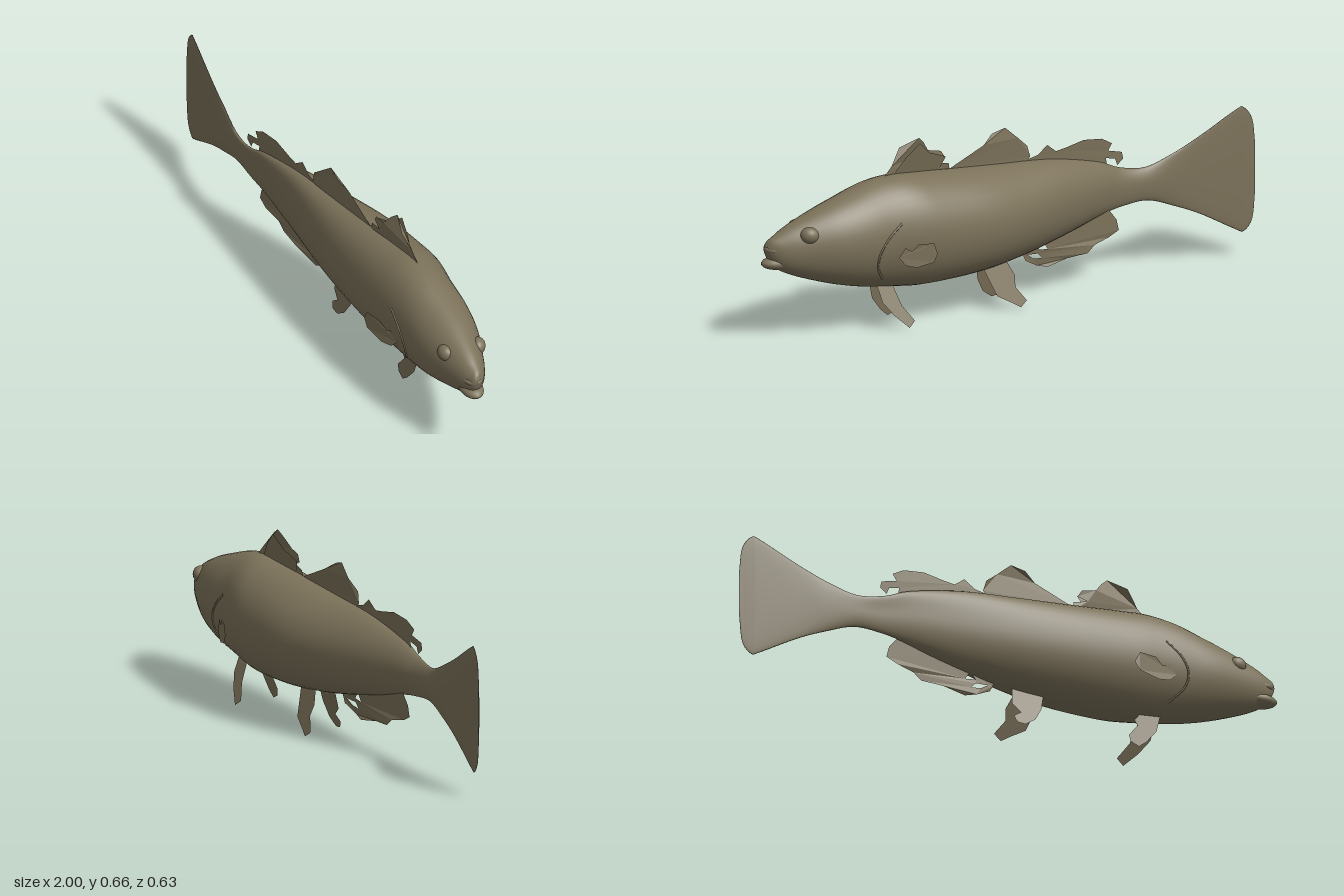
import * as THREE from 'three';

const olive = new THREE.MeshStandardMaterial({ color: 0x7c725a, side: THREE.DoubleSide });
olive.name = 'olive brown';

// Body stations: x, bottom y, top y, right flank z, left flank z
const STATIONS = [
  [-1, 0.22, 0.42, -0.317, -0.313], [-0.99, 0.13, 0.5, -0.314, -0.308],
  [-0.96, 0.09, 0.545, -0.304, -0.292], [-0.93, 0.1, 0.54, -0.292, -0.278],
  [-0.8, 0.175, 0.465, -0.24, -0.225], [-0.7, 0.22, 0.415, -0.205, -0.18],
  [-0.6, 0.255, 0.377, -0.17, -0.14], [-0.5, 0.25, 0.39, -0.142, -0.105],
  [-0.4, 0.235, 0.43, -0.138, -0.07], [-0.2, 0.19, 0.475, -0.145, 0.005],
  [0, 0.155, 0.495, -0.15, 0.085], [0.2, 0.135, 0.515, -0.14, 0.155],
  [0.4, 0.13, 0.535, -0.095, 0.215], [0.5, 0.138, 0.543, -0.06, 0.24],
  [0.6, 0.15, 0.53, -0.01, 0.265], [0.7, 0.17, 0.5, 0.03, 0.288],
  [0.8, 0.2, 0.465, 0.085, 0.3], [0.9, 0.238, 0.42, 0.165, 0.305],
  [0.95, 0.268, 0.39, 0.212, 0.302], [0.975, 0.305, 0.372, 0.245, 0.297],
  [0.985, 0.335, 0.35, 0.265, 0.288],
];
const curve = (a, b) => new THREE.CatmullRomCurve3(
  STATIONS.map(s => new THREE.Vector3(s[0], s[a], s[b])), false, 'catmullrom');
const heights = curve(1, 2), flanks = curve(3, 4);

// Point on the skin; t runs tail to snout, angle 0 is the back, 90 degrees the left flank
function skin(t, angle) {
  const h = heights.getPoint(t), w = flanks.getPoint(t);
  const c = Math.cos(angle), s = Math.sin(angle);
  const ridge = 0.03 * Math.max(0, 1 - (h.x / 0.7) ** 2) * Math.max(0, c) ** 2;
  return new THREE.Vector3(h.x, (h.y + h.z) / 2 + c * (h.z - h.y) / 2,
    (w.y + w.z) / 2 + s * (w.z - w.y) / 2 + ridge);
}

// Skin parameter t at a given x
function paramAt(x) {
  let i = 0;
  while (i < STATIONS.length - 2 && STATIONS[i + 1][0] < x) i++;
  const a = STATIONS[i][0], b = STATIONS[i + 1][0];
  return (i + (x - a) / (b - a)) / (STATIONS.length - 1);
}

function bodyGeometry() {
  const rings = 100, sides = 40, pos = [], index = [];
  for (let i = 0; i <= rings; i++)
    for (let j = 0; j < sides; j++)
      pos.push(...skin(i / rings, j / sides * Math.PI * 2).toArray());
  for (let i = 0; i < rings; i++)
    for (let j = 0; j < sides; j++) {
      const a = i * sides + j, a1 = i * sides + (j + 1) % sides;
      index.push(a, a1, a + sides, a1, a1 + sides, a + sides);
    }
  const g = new THREE.BufferGeometry();
  g.setAttribute('position', new THREE.Float32BufferAttribute(pos, 3));
  g.setIndex(index);
  g.computeVertexNormals();
  return g;
}

// Thin sheet from an x-y outline, with z given by a rule
function finGeometry(outline, zRule, holes = []) {
  const toPoints = list => list.map(p => new THREE.Vector2(...p));
  const shape = new THREE.Shape(toPoints(outline));
  holes.forEach(h => shape.holes.push(new THREE.Path(toPoints(h))));
  const g = new THREE.ShapeGeometry(shape).toNonIndexed();
  const p = g.attributes.position;
  for (let i = 0; i < p.count; i++) p.setZ(i, zRule(p.getX(i), p.getY(i)));
  g.computeVertexNormals();
  return g;
}

export function createModel() {
  const fish = new THREE.Group();
  fish.name = 'fish';
  const add = (name, geometry) => {
    const m = new THREE.Mesh(geometry, olive);
    m.name = name;
    fish.add(m);
    return m;
  };
  const ball = (name, x, y, z, rx, ry, rz, turn = 0) => {
    const m = add(name, new THREE.SphereGeometry(1, 20, 14));
    m.position.set(x, y, z);
    m.scale.set(rx, ry, rz);
    m.rotation.y = turn;
  };

  add('bodyAndTail', bodyGeometry());

  // Head details
  ball('leftEye', 0.82, 0.388, 0.277, 0.034, 0.03, 0.028, -0.2);
  ball('rightEye', 0.875, 0.388, 0.17, 0.034, 0.03, 0.028, -0.8);
  ball('lowerJaw', 0.925, 0.286, 0.262, 0.075, 0.026, 0.042, -0.4);
  ball('upperLip', 0.94, 0.337, 0.265, 0.048, 0.02, 0.04, -0.5);

  // Raised edge of each gill cover
  for (const side of [1, -1]) {
    const pts = [[0.52, 1.25], [0.575, 1.5], [0.605, 1.8], [0.6, 2.1], [0.56, 2.45]]
      .map(([x, a]) => skin(paramAt(x + (side < 0 ? 0.06 : 0)), a * side));
    add(side > 0 ? 'leftGillEdge' : 'rightGillEdge',
      new THREE.TubeGeometry(new THREE.CatmullRomCurve3(pts), 24, 0.004, 6));
  }

  // Fins along the back, gently rippled away from the root
  const backZ = (x, y) => 0.22 * x + 0.1 * Math.max(0, y - 0.5) * Math.sin(x * 45);
  add('frontDorsalFin', finGeometry([[0.54, 0.53], [0.5, 0.57], [0.45, 0.63], [0.39, 0.66],
    [0.36, 0.635], [0.33, 0.6], [0.28, 0.59], [0.265, 0.565], [0.3, 0.55], [0.25, 0.54],
    [0.24, 0.5], [0.54, 0.5]], backZ));
  add('frontDorsalFold', finGeometry([[0.5, 0.53], [0.45, 0.6], [0.4, 0.645], [0.35, 0.6],
    [0.27, 0.57], [0.3, 0.5]], (x, y) => 0.22 * x - 0.25 * (y - 0.52)));
  add('middleDorsalFin', finGeometry([[0.24, 0.52], [0.1, 0.58], [0.05, 0.61], [0, 0.625],
    [-0.05, 0.58], [-0.1, 0.54], [-0.11, 0.5], [-0.07, 0.46], [0.24, 0.49]], backZ));
  add('rearDorsalFin', finGeometry([[-0.09, 0.49], [-0.14, 0.5], [-0.18, 0.53], [-0.22, 0.5],
    [-0.26, 0.505], [-0.34, 0.52], [-0.42, 0.51], [-0.465, 0.485], [-0.45, 0.46],
    [-0.51, 0.445], [-0.515, 0.42], [-0.49, 0.4], [-0.48, 0.425], [-0.44, 0.435],
    [-0.45, 0.38], [-0.3, 0.42], [-0.1, 0.45]], (x, y) => 0.22 * x - 0.08 * Math.max(0, y - 0.47)));

  // Anal fin with torn gaps
  add('analFin', finGeometry([[-0.46, 0.21], [-0.47, 0.17], [-0.43, 0.15], [-0.36, 0.135],
    [-0.33, 0.11], [-0.25, 0.105], [-0.16, 0.09], [-0.12, 0.1], [-0.06, 0.13], [-0.05, 0.15],
    [-0.03, 0.2], [-0.25, 0.235], [-0.42, 0.26]],
  (x, y) => -0.028 + 0.22 * x + 0.1 * Math.max(0, 0.18 - y) * Math.sin(x * 40),
  [[[-0.14, 0.125], [-0.1, 0.13], [-0.07, 0.15], [-0.12, 0.145]],
    [[-0.16, 0.155], [-0.12, 0.16], [-0.14, 0.185]]]));

  // Paired lower fins: left and right differ because the body is curved
  const hanging = (name, outline, x0, rootZ, tipZ) => add(name, finGeometry(outline,
    (x, y) => THREE.MathUtils.lerp(tipZ, rootZ, y / 0.15) + 0.3 * (x - x0)));
  hanging('leftPelvicFin', [[0.57, 0.16], [0.55, 0.09], [0.51, 0.04], [0.48, 0.015], [0.45, 0.03],
    [0.445, 0.055], [0.48, 0.1], [0.47, 0.12], [0.5, 0.16]], 0.51, 0.135, 0.15);
  hanging('rightPelvicFin', [[0.6, 0.17], [0.6, 0.1], [0.57, 0.05], [0.53, 0.005], [0.5, 0.025],
    [0.53, 0.08], [0.54, 0.16]], 0.55, 0.07, 0);
  hanging('leftRearLowerFin', [[0.14, 0.17], [0.12, 0.09], [0.09, 0.04], [0.05, 0.012], [0.02, 0.015],
    [0.01, 0.04], [0.04, 0.06], [0.01, 0.09], [0.02, 0.17]], 0.07, 0, 0.03);
  hanging('rightRearLowerFin', [[0.17, 0.17], [0.15, 0.09], [0.14, 0.05], [0.09, 0.02], [0.06, 0],
    [0.03, 0.02], [0.06, 0.07], [0.05, 0.11], [0.07, 0.17]], 0.09, -0.06, -0.115);

  // Pectoral fins, swept back off the flanks
  const pectoral = [[0.56, 0.28], [0.53, 0.315], [0.5, 0.3], [0.47, 0.325], [0.4, 0.325],
    [0.38, 0.285], [0.4, 0.255], [0.48, 0.24], [0.53, 0.25]];
  add('leftPectoralFin', finGeometry(pectoral,
    (x, y) => 0.247 - 0.1 * (0.55 - x) + 0.15 * Math.abs(y - 0.29)));
  add('rightPectoralFin', finGeometry(pectoral.map(([x, y]) => [0.485 + (x - 0.38) * 0.65, y]),
    (x, y) => -0.015 - 0.7 * (0.6 - x) - 0.1 * Math.abs(y - 0.29)));

  return fish;
}
